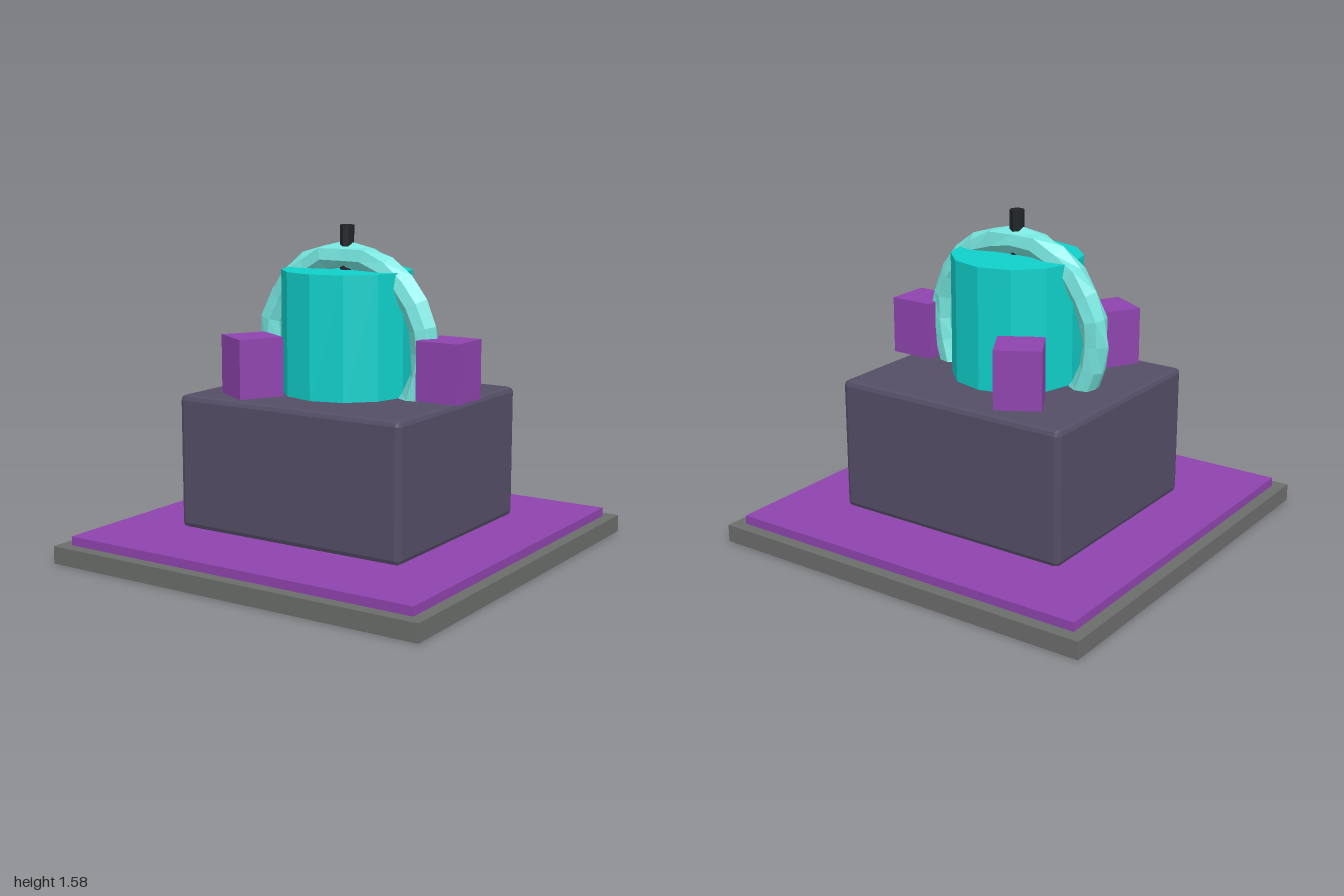
import * as THREE from 'three';
import { RoundedBoxGeometry } from 'three/addons/geometries/RoundedBoxGeometry.js';

const material = (color) => new THREE.MeshStandardMaterial({ color, flatShading: true });

export function createModel() {
  const model = new THREE.Group();
  model.name = 'pedestalMonument';

  const add = (name, geometry, mat, x, y, z) => {
    const mesh = new THREE.Mesh(geometry, mat);
    mesh.name = name;
    mesh.position.set(x, y, z);
    model.add(mesh);
    return mesh;
  };

  const grey = material(0x6b6d6b);
  const purple = material(0x8e44ad);
  const stone = material(0x544e66);
  const teal = material(0x10d0ca);
  const paleTeal = material(0x76e4dd);
  const black = material(0x202426);

  // Stacked floor plates
  add('basePlate', new THREE.BoxGeometry(2, 0.085, 2), grey, 0, 0.0425, 0);
  add('floorPanel', new THREE.BoxGeometry(1.88, 0.045, 1.88), purple, 0, 0.1055, 0);

  // Chamfered pedestal, set slightly towards the back
  add('pedestal', new RoundedBoxGeometry(1.23, 0.65, 1.09, 1, 0.025), stone, 0, 0.453, -0.025);

  // Twelve-sided drum
  add('drum', new THREE.CylinderGeometry(0.315, 0.315, 0.63, 12), teal, 0, 1.053, 0);

  // Roughly hewn ring, its lower part sunk in the pedestal
  const ringGeometry = new THREE.TorusGeometry(0.44, 0.065, 7, 24);
  const p = ringGeometry.attributes.position;
  for (let i = 0; i < p.count; i++) {
    const x = p.getX(i), y = p.getY(i), z = p.getZ(i);
    const wobble = 0.008 * Math.sin(23 * x + 17 * y + 60 * z);
    const r = Math.hypot(x, y);
    p.setXYZ(i, x * (1 + wobble / r), y * (1 + wobble / r), z * (1 + 8 * wobble));
  }
  add('ring', ringGeometry, paleTeal, -0.002, 0.995, 0);

  // Pin through the top of the ring
  add('topPin', new THREE.CylinderGeometry(0.035, 0.035, 0.22, 8), black, 0, 1.47, 0);

  // Three blocks hovering around the drum
  const blockGeometry = new THREE.BoxGeometry(0.22, 0.28, 0.22);
  [[0.56, 0, 0], [-0.28, 0.383, 1], [-0.28, -0.383, -1]].forEach(([x, z, turn], i) => {
    const block = add(`floatingBlock${i + 1}`, blockGeometry, purple, x, 0.932, z);
    block.rotation.y = -turn * Math.PI * 2 / 3;
  });

  return model;
}
